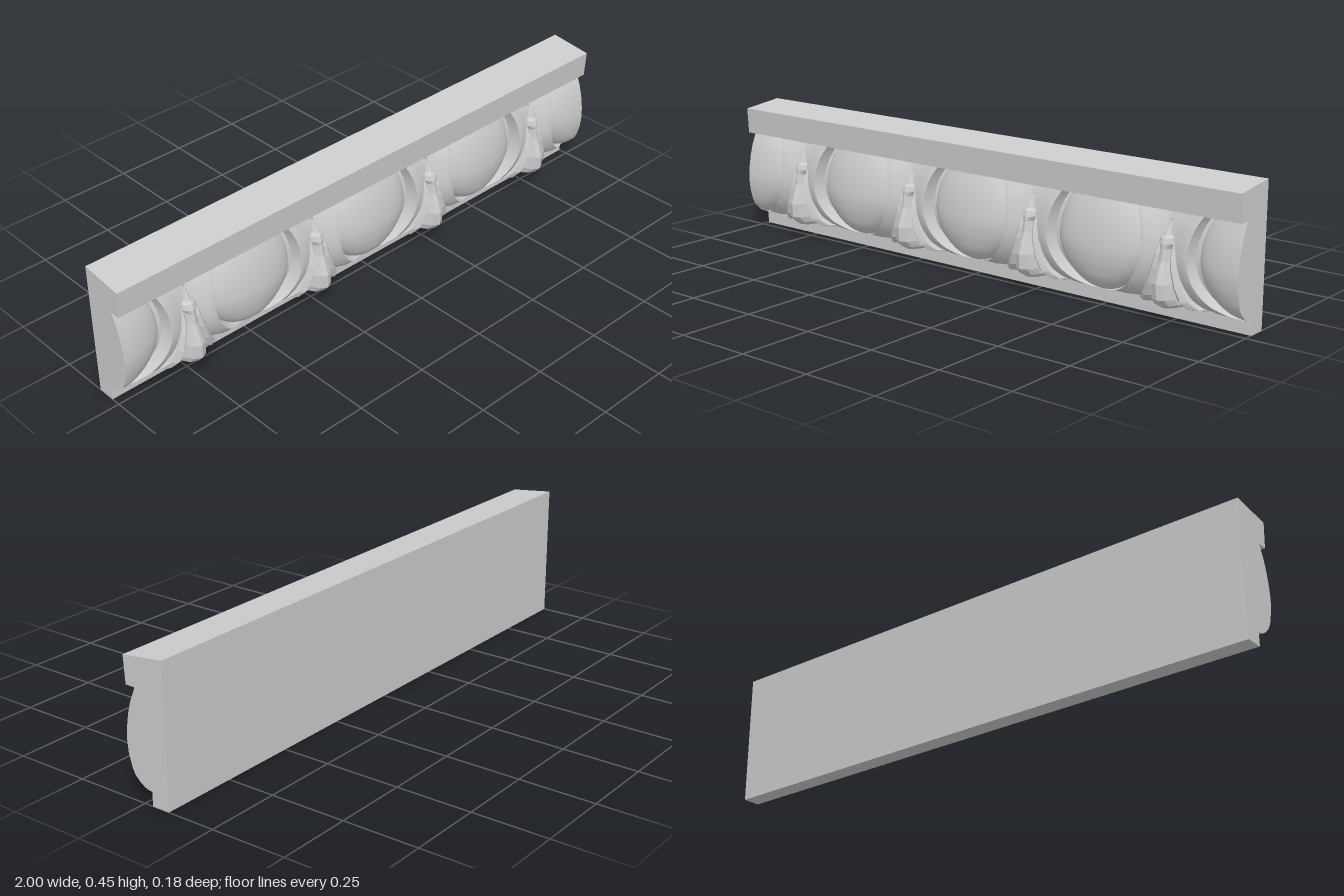
import * as THREE from 'three';
import { toCreasedNormals } from 'three/addons/utils/BufferGeometryUtils.js';

const smooth = new THREE.MeshStandardMaterial({ color: 0xcccccc, side: THREE.DoubleSide });
const faceted = new THREE.MeshStandardMaterial({ color: 0xcccccc, side: THREE.DoubleSide, flatShading: true });

// Rounded face of the moulding: depth z at height y
const FACE = [[0.045, -0.025], [0.05, -0.005], [0.06, 0.012], [0.08, 0.032], [0.1, 0.042], [0.14, 0.053],
  [0.18, 0.057], [0.22, 0.054], [0.26, 0.047], [0.3, 0.036], [0.346, 0.016]];
function faceZ(y) {
  if (y <= FACE[0][0]) return FACE[0][1];
  for (let i = 1; i < FACE.length; i++) {
    const [y0, z0] = FACE[i - 1], [y1, z1] = FACE[i];
    if (y <= y1) return z0 + (z1 - z0) * (y - y0) / (y1 - y0);
  }
  return FACE[FACE.length - 1][1];
}

// Surface through a grid of points given by point(i / cols, j / rows)
function sheet(cols, rows, point) {
  const pos = [], idx = [];
  for (let j = 0; j <= rows; j++) {
    for (let i = 0; i <= cols; i++) pos.push(...point(i / cols, j / rows));
  }
  for (let j = 0; j < rows; j++) {
    for (let i = 0; i < cols; i++) {
      const a = j * (cols + 1) + i, b = a + cols + 1;
      idx.push(a, a + 1, b, a + 1, b + 1, b);
    }
  }
  const g = new THREE.BufferGeometry();
  g.setAttribute('position', new THREE.Float32BufferAttribute(pos, 3));
  g.setIndex(idx);
  g.computeVertexNormals();
  return g;
}

function add(parent, name, geometry, material = smooth) {
  const mesh = new THREE.Mesh(geometry, material);
  mesh.name = name;
  parent.add(mesh);
  return mesh;
}

// Length of moulding from x0 to x1, its rounded face sunk by the given depth
function run(x0, x1, sink) {
  const s = new THREE.Shape();
  s.moveTo(0.09, 0);
  s.lineTo(0.03, 0);
  s.lineTo(0.03, 0.045);
  for (const [y, z] of FACE) s.lineTo(-Math.max(-0.03, z - sink), y);
  s.lineTo(-0.05, 0.346);
  s.lineTo(-0.055, 0.433);
  s.lineTo(0.09, 0.45);
  const g = new THREE.ExtrudeGeometry(s, { depth: x1 - x0, bevelEnabled: false });
  g.rotateY(Math.PI / 2).translate(x0, 0, 0);
  return toCreasedNormals(g, 0.5);
}

// Egg, cut off at the top by the fillet; u0..u1 selects the whole or one half
function egg(u0, u1) {
  return sheet(24, 24, (s, t) => {
    const y = 0.046 + 0.302 * (1 - Math.cos(t * Math.PI / 2));
    const a = (u0 + (u1 - u0) * s) * Math.PI / 2;
    const k = (y - 0.22) / (y < 0.22 ? 0.175 : 0.2);
    const w = 0.154 * Math.sqrt(Math.max(0, 1 - k * k));
    return [w * Math.sin(a), y, faceZ(y) - 0.055 * (1 - Math.cos(a)) * Math.min(1, w / 0.1)];
  });
}

// Shell rim around one side of an egg: [outward offset, depth from face]
const RIM = [[-0.008, -0.055], [0, 0.002], [0.018, 0.001], [0.045, -0.014], [0.085, -0.02]];
function rim(side) {
  const g = sheet(RIM.length - 1, 32, (s, t) => {
    const [off, dz] = RIM[Math.round(s * (RIM.length - 1))];
    const a = -Math.PI / 2 + t * (Math.PI / 2 + 0.8);
    const b = a < 0 ? 0.172 : 0.2;
    const x = Math.max(0, (0.17 + off) * Math.cos(a));
    const y = Math.min(0.348, Math.max(0.046, 0.22 + (b + off) * Math.sin(a)));
    return [side * x, y, Math.max(-0.03, faceZ(y) + dz)];
  });
  if (side < 0) {
    const i = g.index.array;
    for (let k = 0; k < i.length; k += 3) [i[k], i[k + 1]] = [i[k + 1], i[k]];
    g.computeVertexNormals();
  }
  return toCreasedNormals(g, 0.7);
}

// Half-round loft; rows are [y, centre x, half width, front z]
function loft(rows, sides, side = 1) {
  return sheet(sides, rows.length - 1, (s, t) => {
    const [y, cx, w, z] = rows[Math.round(t * (rows.length - 1))];
    const a = Math.PI * (1 - s), back = Math.min(z, faceZ(y) - 0.03);
    return [side * cx + w * Math.cos(a), y, back + (z - back) * Math.sin(a)];
  });
}

const DART = [[0.046, 0, 0.02, 0.0], [0.05, 0, 0.04, 0.045], [0.062, 0, 0.048, 0.066], [0.083, 0, 0.044, 0.085],
  [0.13, 0, 0.037, 0.088], [0.165, 0, 0.028, 0.076], [0.195, 0, 0.021, 0.064], [0.23, 0, 0.016, 0.059],
  [0.245, 0, 0.027, 0.058], [0.262, 0, 0.025, 0.052], [0.27, 0, 0.013, 0.043], [0.31, 0, 0.004, 0.02]];
const LEAF = [[0.046, 0.085, 0.035, -0.01], [0.055, 0.078, 0.034, 0.03], [0.08, 0.062, 0.026, 0.052],
  [0.12, 0.047, 0.02, 0.061], [0.17, 0.034, 0.015, 0.061], [0.21, 0.027, 0.01, 0.054], [0.25, 0.024, 0.003, 0.035]];

export function createModel() {
  const model = new THREE.Group();
  model.name = 'eggAndDartMoulding';

  // Straight moulding with fillets, and the full profile at both ends
  add(model, 'backing', run(-0.996, 0.996, 0.042));
  add(model, 'leftEnd', run(0.996, 1, 0));
  add(model, 'rightEnd', run(-1, -0.996, 0));

  // Eggs with their rims, halved at the ends
  for (let i = -2; i <= 2; i++) {
    const unit = new THREE.Group();
    unit.name = 'eggUnit';
    unit.position.x = i * 0.5;
    add(unit, 'egg', egg(i === 2 ? -1 : i === -2 ? 0 : -1, i === 2 ? 0 : 1));
    if (i < 2) add(unit, 'leftRim', rim(1));
    if (i > -2) add(unit, 'rightRim', rim(-1));
    model.add(unit);
  }

  // Darts with a leaf on each side
  for (const x of [-0.75, -0.25, 0.25, 0.75]) {
    const dart = new THREE.Group();
    dart.name = 'dart';
    dart.position.x = x;
    add(dart, 'dartStem', loft(DART, 6), faceted);
    add(dart, 'leftLeaf', loft(LEAF, 4, 1), faceted);
    add(dart, 'rightLeaf', loft(LEAF, 4, -1), faceted);
    model.add(dart);
  }
  return model;
}
